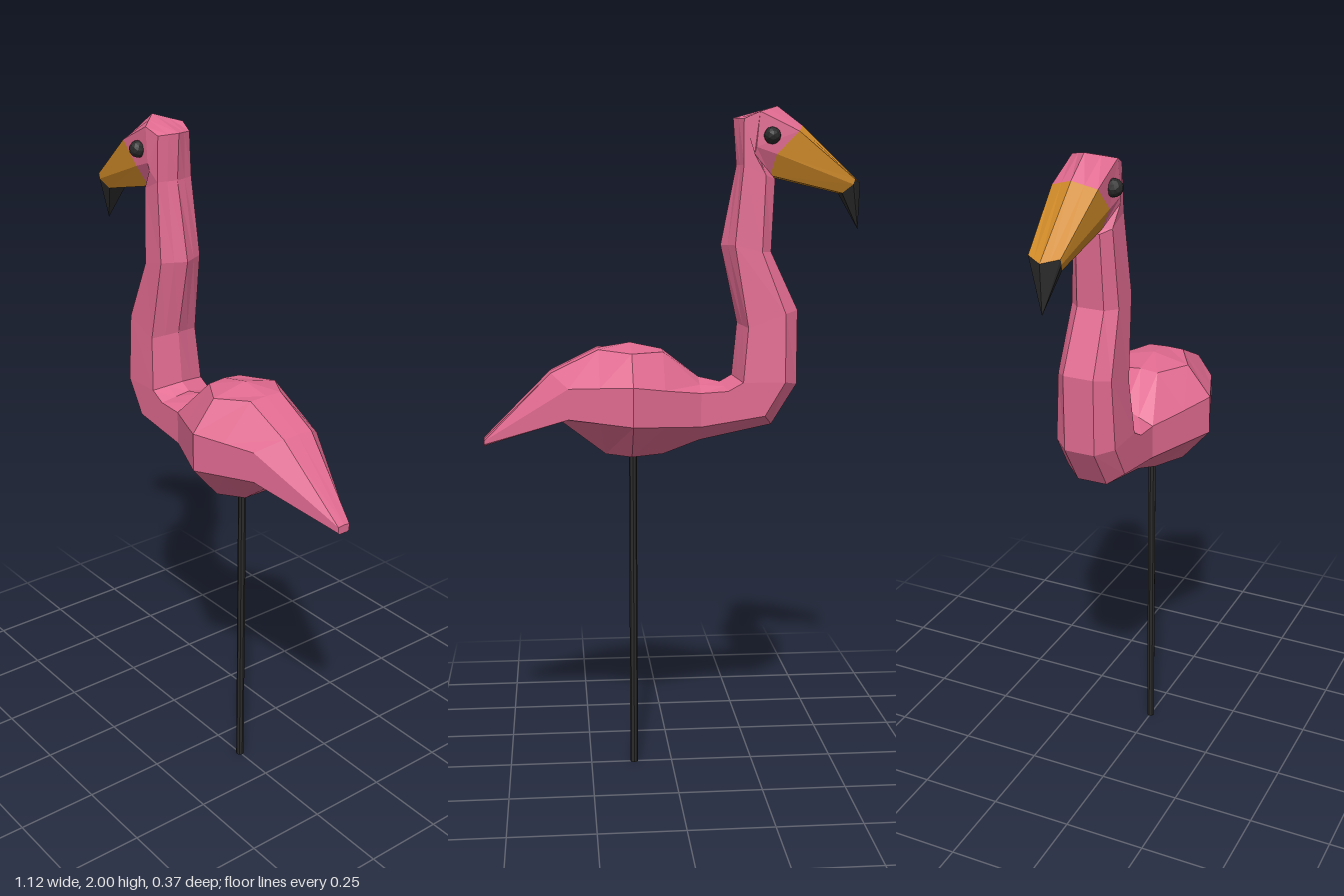
import * as THREE from 'three';

const paint = (color) => new THREE.MeshStandardMaterial({ color, flatShading: true });
const mix = (a, b) => (a + b) / 2;

// A station is a mirrored nine-point section: ridge, shoulder, flank, lower flank, belly.
function station(ridge, shoulder, flank, lower, belly) {
  const half = [shoulder, flank, lower, belly];
  return [
    [ridge[0], ridge[1], 0],
    ...half,
    ...half.slice().reverse().map(([x, y, z]) => [x, y, -z]),
  ];
}

// Section without its own shoulder: a straight slope from ridge to flank
function slim(ridge, flank, lower, belly) {
  const shoulder = [mix(ridge[0], flank[0]), mix(ridge[1], flank[1]), flank[2] / 2];
  return station(ridge, shoulder, flank, lower, belly);
}

// Skin a list of stations, closing both ends
function loft(name, stations, material) {
  const n = stations[0].length;
  const index = [];
  for (let i = 0; i < stations.length - 1; i++) {
    for (let j = 0; j < n; j++) {
      const a = i * n + j, b = i * n + (j + 1) % n;
      index.push(a, b, a + n, b, b + n, a + n);
    }
  }
  const last = (stations.length - 1) * n;
  for (let j = 1; j < n - 1; j++) {
    index.push(0, j + 1, j, last, last + j, last + j + 1);
  }
  const geometry = new THREE.BufferGeometry();
  geometry.setAttribute('position', new THREE.Float32BufferAttribute(stations.flat(2), 3));
  geometry.setIndex(index);
  const flat = geometry.toNonIndexed();
  flat.computeVertexNormals();
  const mesh = new THREE.Mesh(flat, material);
  mesh.name = name;
  return mesh;
}

export function createModel() {
  const pink = paint(0xe06a90);
  const orange = paint(0xd08a28);
  const black = paint(0x2a2a2a);
  const model = new THREE.Group();
  model.name = 'gardenBird';

  const beakTip = slim([-0.56, 1.78], [-0.535, 1.79, 0.045], [-0.53, 1.775, 0.045], [-0.5, 1.75, 0.03]);
  const beakBase = slim([-0.385, 1.945], [-0.365, 1.925, 0.065], [-0.3, 1.86, 0.065], [-0.285, 1.8, 0.035]);

  // Head, curving down into the S-shaped neck
  const head = [
    beakBase,
    slim([-0.31, 2.0], [-0.25, 1.98, 0.065], [-0.24, 1.88, 0.068], [-0.285, 1.8, 0.035]),
    slim([-0.18, 1.965], [-0.205, 1.96, 0.055], [-0.235, 1.86, 0.065], [-0.287, 1.8, 0.035]),
  ];
  const neck = [
    slim([-0.19, 1.83], [-0.205, 1.83, 0.06], [-0.27, 1.8, 0.058], [-0.3, 1.79, 0.035]),
    slim([-0.145, 1.6], [-0.18, 1.6, 0.07], [-0.26, 1.58, 0.07], [-0.29, 1.58, 0.04]),
    slim([-0.195, 1.37], [-0.22, 1.36, 0.08], [-0.33, 1.4, 0.08], [-0.37, 1.41, 0.045]),
    slim([-0.18, 1.215], [-0.205, 1.2, 0.09], [-0.33, 1.2, 0.09], [-0.37, 1.19, 0.045]),
    slim([-0.145, 1.195], [-0.16, 1.175, 0.09], [-0.27, 1.1, 0.09], [-0.295, 1.07, 0.045]),
    slim([-0.08, 1.21], [-0.08, 1.17, 0.09], [-0.08, 1.07, 0.09], [-0.08, 1.025, 0.045]),
  ];
  // Body, widest above the stake and tapering to the tail
  const body = [
    station([0.03, 1.295], [0.03, 1.29, 0.055], [0.03, 1.185, 0.141], [0.03, 1.078, 0.141], [0.03, 0.985, 0.05]),
    station([0.125, 1.315], [0.125, 1.29, 0.112], [0.125, 1.2, 0.185], [0.125, 1.085, 0.185], [0.125, 0.985, 0.1]),
    station([0.22, 1.3], [0.22, 1.298, 0.055], [0.22, 1.195, 0.149], [0.22, 1.093, 0.149], [0.2, 0.988, 0.055]),
    station([0.36, 1.232], [0.36, 1.23, 0.05], [0.31, 1.19, 0.115], [0.31, 1.1, 0.115], [0.33, 1.085, 0.04]),
    station([0.56, 1.035], [0.56, 1.033, 0.02], [0.56, 1.025, 0.02], [0.56, 1.015, 0.02], [0.56, 1.01, 0.015]),
  ];
  model.add(loft('headNeckAndBody', [...head, ...neck, ...body], pink));

  // Beak with a hooked dark tip
  model.add(loft('beak', [beakTip, beakBase], orange));
  const hookPoint = beakTip.map(() => [-0.555, 1.645, 0]);
  model.add(loft('beakHook', [hookPoint, beakTip], black));

  // Eyes
  for (const side of [-1, 1]) {
    const eye = new THREE.Mesh(new THREE.IcosahedronGeometry(0.025, 1), black);
    eye.name = side > 0 ? 'leftEye' : 'rightEye';
    eye.position.set(-0.285, 1.912, side * 0.07);
    model.add(eye);
  }

  // Stake
  const stake = new THREE.Mesh(new THREE.CylinderGeometry(0.012, 0.012, 1.02, 8), black);
  stake.name = 'stake';
  stake.position.set(0.117, 0.51, 0);
  model.add(stake);

  return model;
}
